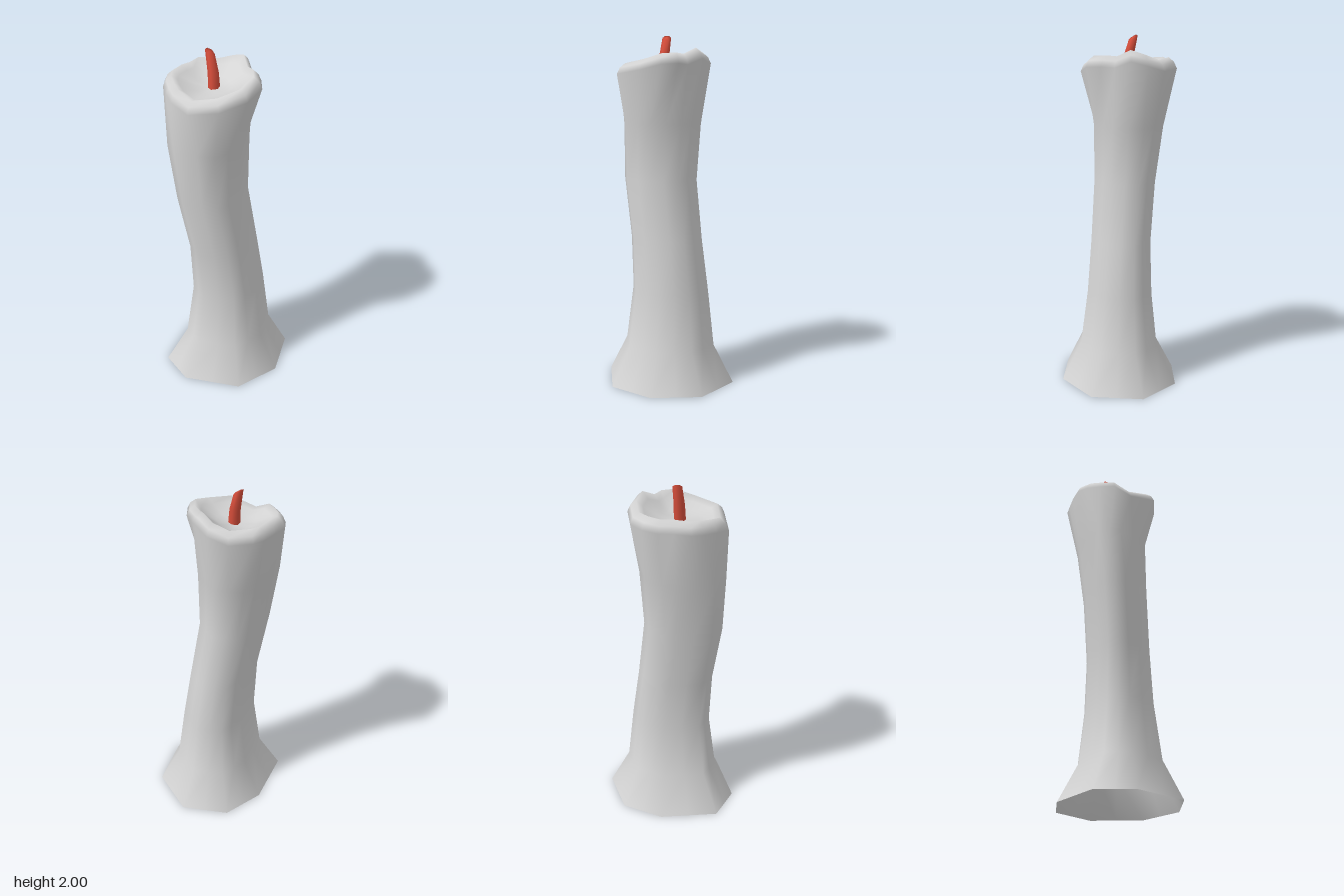
import * as THREE from 'three';

// Smooth skin over closed rings of [x, y, z], with an end point as the top cap
function skin(rings, tip) {
  const n = rings[0].length, index = [];
  for (let i = 0; i < rings.length - 1; i++) {
    for (let j = 0; j < n; j++) {
      const k = (j + 1) % n, a = i * n + j, b = i * n + k;
      index.push(a, a + n, b, b, a + n, b + n);
    }
  }
  const last = (rings.length - 1) * n;
  for (let j = 0; j < n; j++) index.push(last + j, rings.length * n, last + (j + 1) % n);
  const geo = new THREE.BufferGeometry();
  geo.setAttribute('position', new THREE.Float32BufferAttribute([...rings.flat(2), ...tip], 3));
  geo.setIndex(index);
  geo.computeVertexNormals();
  return geo;
}

// Irregular octagonal foot [x, z], from the back round by the left
const foot = [[0.04, -0.38], [0.29, -0.22], [0.34, 0.065], [0.2, 0.305],
  [-0.125, 0.375], [-0.31, 0.265], [-0.33, -0.07], [-0.22, -0.295]];

// Stem levels: y, min x, max x, min z, max z
const levels = [
  [0, -0.33, 0.34, -0.38, 0.375],
  [0.22, -0.217, 0.227, -0.265, 0.265],
  [0.54, -0.18, 0.185, -0.23, 0.222],
  [0.84, -0.185, 0.148, -0.19, 0.233],
  [1.18, -0.233, 0.106, -0.154, 0.278],
  [1.5, -0.28, 0.108, -0.175, 0.286],
];

// Uneven melted lip: x, z, crest height
const lip = [
  [-0.06, -0.23, 1.9], [0.025, -0.19, 1.925], [0.085, -0.115, 1.89], [0.145, -0.07, 1.895],
  [0.19, 0.02, 1.89], [0.165, 0.145, 1.86], [0.07, 0.285, 1.84], [-0.1, 0.297, 1.803],
  [-0.2, 0.28, 1.845], [-0.262, 0.22, 1.855], [-0.315, 0.155, 1.865], [-0.34, 0.09, 1.87],
  [-0.325, 0, 1.875], [-0.305, -0.08, 1.87], [-0.28, -0.155, 1.88], [-0.17, -0.215, 1.87],
];
const poolX = -0.085, poolZ = 0.04, poolY = 1.795;

function stemRing([y, x0, x1, z0, z1]) {
  const ring = [];
  foot.forEach((p, j) => {
    const q = foot[(j + 1) % foot.length];
    for (const t of [0, 0.5]) {
      const x = p[0] + (q[0] - p[0]) * t, z = p[1] + (q[1] - p[1]) * t;
      ring.push([x0 + (x + 0.33) / 0.67 * (x1 - x0), y, z0 + (z + 0.38) / 0.755 * (z1 - z0)]);
    }
  });
  return ring;
}

// Lip ring drawn in towards the pool; sink blends its height down to the pool floor
function lipRing(scale, drop, sink) {
  return lip.map(([x, z, h]) => [
    poolX + (x - poolX) * scale,
    (h - drop) * (1 - sink) + poolY * sink,
    poolZ + (z - poolZ) * scale,
  ]);
}

export function createModel() {
  const wax = new THREE.MeshStandardMaterial({ color: 0xd4d4d4, side: THREE.DoubleSide });
  wax.name = 'wax grey';
  const red = new THREE.MeshStandardMaterial({ color: 0xd84e3b });
  red.name = 'wick red';
  const group = new THREE.Group();
  group.name = 'candle';

  // Hollow-bottomed wax body with flared foot, rounded lip and sunken pool
  const rings = levels.map(stemRing);
  rings.push(lipRing(1, 0.06, 0), lipRing(0.94, 0.025, 0), lipRing(0.83, 0, 0),
    lipRing(0.7, 0.008, 0.25), lipRing(0.4, 0, 0.8));
  const body = new THREE.Mesh(skin(rings, [poolX, poolY, poolZ]), wax);
  body.name = 'waxBody';
  group.add(body);

  // Bent six-sided wick with a slanted tip: x, y, z, radius, slant
  const wickRings = [
    [-0.073, 1.78, 0.042, 0.032, 0],
    [-0.08, 1.88, 0.038, 0.029, 0],
    [-0.104, 1.985, 0.026, 0.025, 0.6],
  ].map(([x, y, z, r, slant]) => Array.from({ length: 6 }, (_, j) => {
    const a = j * Math.PI / 3 - Math.PI / 2;
    return [x + Math.cos(a) * r, y - Math.cos(a) * r * slant, z + Math.sin(a) * r];
  }));
  const wick = new THREE.Mesh(skin(wickRings, [-0.104, 1.988, 0.026]), red);
  wick.name = 'wick';
  group.add(wick);
  return group;
}
